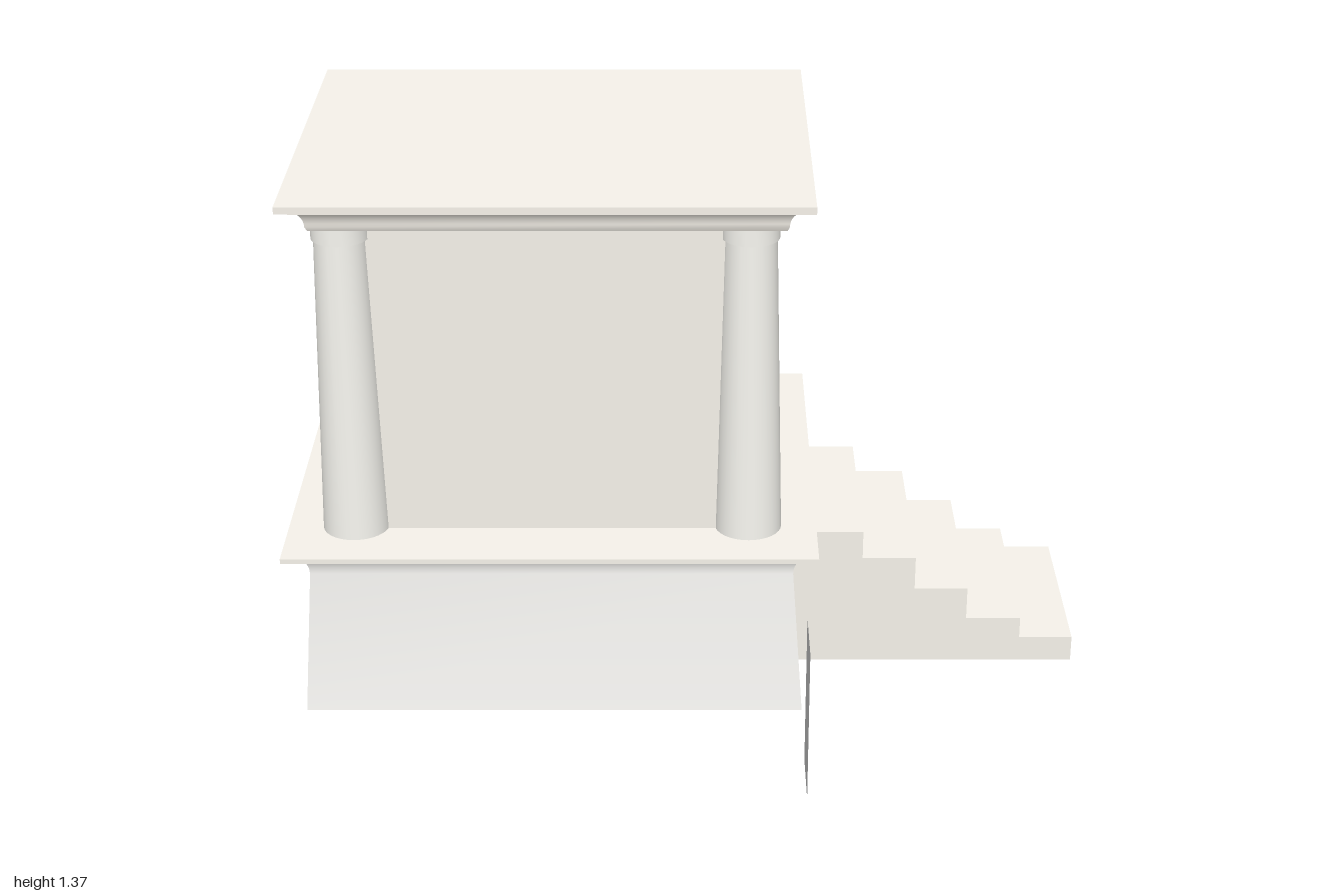
import * as THREE from 'three';
import { toCreasedNormals } from 'three/addons/utils/BufferGeometryUtils.js';

const paint = (color) => new THREE.MeshStandardMaterial({ color, side: THREE.DoubleSide });
const wallStone = paint(0xf6f2ea);
const plinthStone = paint(0xfbfaf7);
const columnStone = paint(0xf7f6f0);
const grey = paint(0xcccccc);

const CX = -0.34, CZ = -0.175; // centre of the building
const FLOOR = 0.46, EAVE = 1.278;

function add(parent, name, geometry, material, x = 0, y = 0, z = 0) {
  const mesh = new THREE.Mesh(geometry, material);
  mesh.name = name;
  mesh.position.set(x, y, z);
  parent.add(mesh);
  return mesh;
}

// Rectangular loft through rings of [half width, half depth, height]
function loft(rings, capTop, capBottom) {
  const pos = [];
  const corners = ([hx, hz, y]) => [[-hx, y, hz], [hx, y, hz], [hx, y, -hz], [-hx, y, -hz]];
  const quad = (a, b, c, d) => pos.push(...a, ...b, ...c, ...a, ...c, ...d);
  for (let i = 0; i < rings.length - 1; i++) {
    const lo = corners(rings[i]), hi = corners(rings[i + 1]);
    for (let k = 0; k < 4; k++) {
      const n = (k + 1) % 4;
      quad(lo[k], lo[n], hi[n], hi[k]);
    }
  }
  if (capTop) quad(...corners(rings[rings.length - 1]));
  if (capBottom) quad(...corners(rings[0]).reverse());
  const g = new THREE.BufferGeometry();
  g.setAttribute('position', new THREE.Float32BufferAttribute(pos, 3));
  return toCreasedNormals(g, 0.5);
}

// Concave quarter curve that flares outwards towards the top
function cove(hx, hz, y0, y1, out) {
  const rings = [];
  for (let i = 0; i <= 10; i++) {
    const a = (i / 10) * Math.PI / 2;
    const o = out * (1 - Math.cos(a));
    rings.push([hx + o, hz + o, y0 + (y1 - y0) * Math.sin(a)]);
  }
  return rings;
}

export function createModel() {
  const model = new THREE.Group();
  model.name = 'kiosk';

  // Plinth: battered walls, open below, with a cove cornice
  add(model, 'plinth', loft([
    [0.627, 0.502, 0],
    ...cove(0.6, 0.477, 0.38, 0.445, 0.055),
  ]), plinthStone, CX, 0, CZ);
  add(model, 'plinthSlab', loft([
    [0.655, 0.532, 0.445], [0.66, 0.55, 0.447], [0.66, 0.55, FLOOR],
  ], true), wallStone, CX, 0, CZ);
  add(model, 'plinthInnerLedge', loft([
    [0.6, 0.477, 0.38], [0.57, 0.447, 0.38], [0.57, 0.447, 0.45],
  ], true), plinthStone, CX, 0, CZ);

  // Roof: cove cornice with a thin slab on top
  add(model, 'roof', loft([
    [0.565, 0.442, EAVE],
    ...cove(0.57, 0.448, 1.29, 1.345, 0.055),
    [0.63, 0.515, 1.347], [0.63, 0.515, 1.365],
  ], true, true), wallStone, CX + 0.008, 0, CZ);

  // Corner columns with plain capitals
  const profile = [[0.083, FLOOR], [0.064, 1.235], [0.07, 1.235], [0.07, EAVE]]
    .map(([r, y]) => new THREE.Vector2(r, y));
  const columnGeometry = toCreasedNormals(new THREE.LatheGeometry(profile, 32), 0.6);
  for (const x of [-0.831, 0.149]) {
    for (const z of [-0.538, 0.192]) add(model, 'column', columnGeometry, columnStone, x, 0, z);
  }

  // Chamber walls between the columns
  const T = 0.06, HX = 0.51, HZ = 0.385, H = EAVE - FLOOR, midY = FLOOR + H / 2;
  const sideWall = new THREE.BoxGeometry(2 * HX - 0.02, H, T);
  add(model, 'frontWall', sideWall, wallStone, CX, midY, CZ + HZ - T / 2);
  add(model, 'backWall', sideWall, wallStone, CX, midY, CZ - HZ + T / 2);
  const endWall = new THREE.BoxGeometry(T, H, 2 * HZ - 0.02);
  add(model, 'endWall', endWall, wallStone, CX - HX + T / 2, midY, CZ);

  // Wall with the doorway, drawn in the z-y plane and turned to face +x
  const w = HZ - 0.01, d = 0.188, doorTop = 1.06;
  const doorShape = new THREE.Shape([
    [-w, FLOOR], [-d, FLOOR], [-d, doorTop], [d, doorTop],
    [d, FLOOR], [w, FLOOR], [w, EAVE], [-w, EAVE],
  ].map(([x, y]) => new THREE.Vector2(x, y)));
  const doorWall = add(model, 'doorWall',
    new THREE.ExtrudeGeometry(doorShape, { depth: T, bevelEnabled: false }), wallStone, CX + HX - T, 0, CZ);
  doorWall.rotation.y = Math.PI / 2;

  // Staircase: side walls, treads and risers, hollow below
  const stairs = new THREE.Group();
  stairs.name = 'stairs';
  model.add(stairs);
  const steps = [[0.448, 0.377], [0.585, 0.302], [0.722, 0.213], [0.863, 0.125], [1, 0.068]];
  const halfWidth = 0.25;
  const outline = [new THREE.Vector2(0.285, 0)];
  let x0 = 0.26;
  steps.forEach(([x1, y], i) => {
    const below = i < steps.length - 1 ? steps[i + 1][1] : 0;
    outline.push(new THREE.Vector2(x0, y), new THREE.Vector2(x1, y));
    const tread = new THREE.PlaneGeometry(x1 - x0, 2 * halfWidth).rotateX(-Math.PI / 2);
    add(stairs, 'tread', tread, wallStone, (x0 + x1) / 2, y, CZ);
    const riser = new THREE.PlaneGeometry(2 * halfWidth, y - below).rotateY(Math.PI / 2);
    add(stairs, 'riser', riser, wallStone, x1, (y + below) / 2, CZ);
    x0 = x1;
  });
  outline.push(new THREE.Vector2(1, 0));
  const stairSide = new THREE.ShapeGeometry(new THREE.Shape(outline));
  for (const s of [-1, 1]) add(stairs, 'stairSide', stairSide, wallStone, 0, 0, CZ + s * halfWidth);

  // Thin upright panel standing apart from the building
  const panel = new THREE.PlaneGeometry(0.172, 0.4).rotateY(Math.PI / 2);
  add(model, 'standingPanel', panel, grey, 0.285, 0.2, 0.642);

  return model;
}
